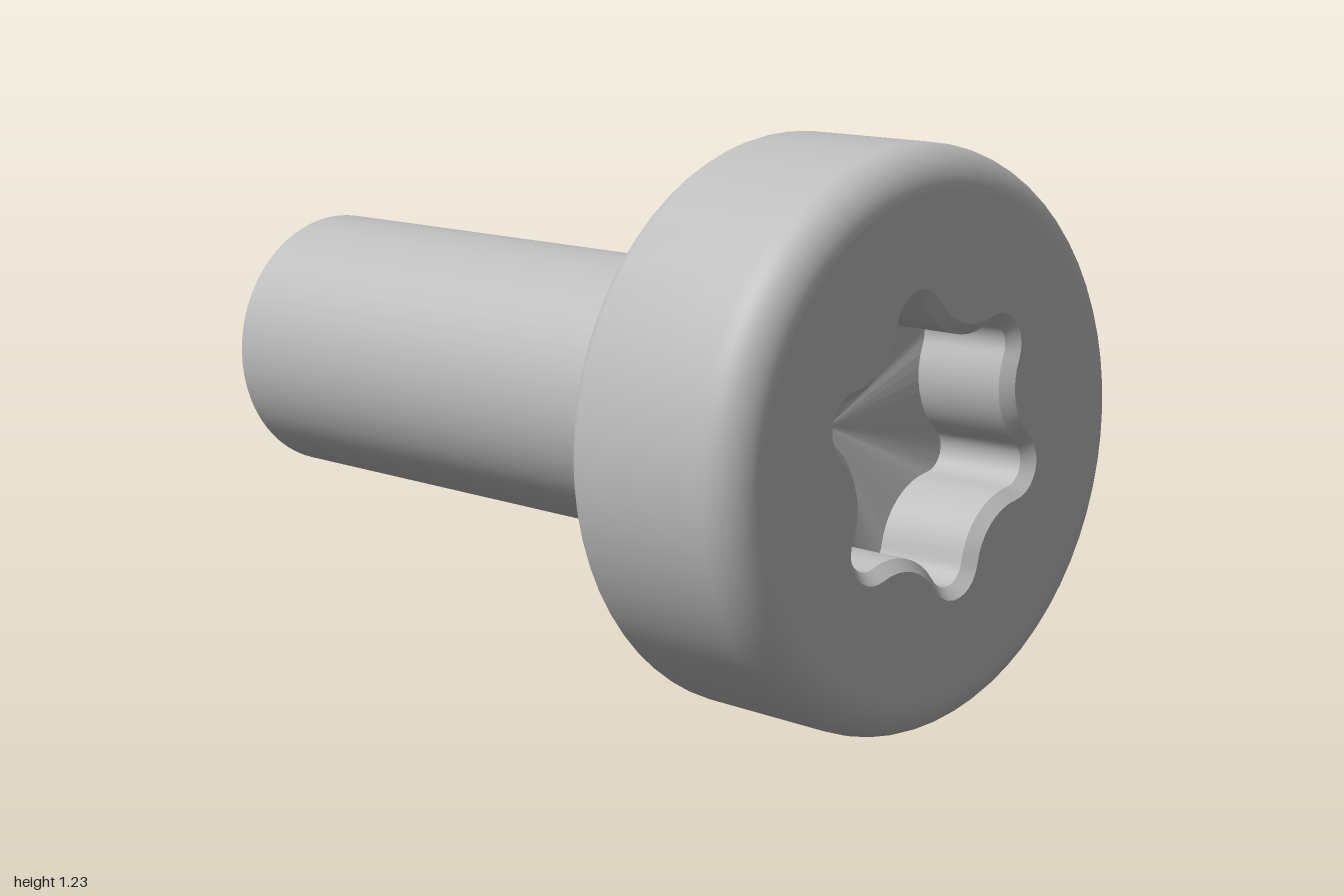
import * as THREE from 'three';
import { toCreasedNormals } from 'three/addons/utils/BufferGeometryUtils.js';

const SEG = 64;
const CREASE = THREE.MathUtils.degToRad(30);
const V2 = (x, y) => new THREE.Vector2(x, y);

// Points of a circular arc, used for fillets and the socket outline
function arc(cx, cy, r, from, to, steps) {
  return Array.from({ length: steps + 1 }, (_, i) => {
    const t = from + ((to - from) * i) / steps;
    return V2(cx + r * Math.cos(t), cy + r * Math.sin(t));
  });
}

// Six-lobed outline made of tangent arcs, shrunk inward by "inset"
function socketOutline(inset) {
  const a = 0.263, b = 0.4, step = Math.PI / 6;
  const gap = Math.hypot(b * Math.cos(step) - a, b * Math.sin(step));
  const lobeR = 0.075 - inset, valleyR = gap - lobeR;
  const beta = Math.atan2(b * Math.sin(step), b * Math.cos(step) - a);
  const pts = [];
  for (let k = 0; k < 6; k++) {
    const p = THREE.MathUtils.degToRad(43.5) + k * 2 * step, q = p + step;
    pts.push(...arc(a * Math.cos(p), a * Math.sin(p), lobeR, p - beta, p + beta, 10).slice(0, -1));
    pts.push(...arc(b * Math.cos(q), b * Math.sin(q), valleyR,
      p + beta + Math.PI, p + 2 * step - beta + Math.PI, 8).slice(0, -1));
  }
  return pts;
}

// Surface joining outlines at successive depths, facing the axis
function loft(rings) {
  const pos = [];
  for (let r = 0; r + 1 < rings.length; r++) {
    const [top, zt] = rings[r], [bot, zb] = rings[r + 1], n = top.length;
    for (let i = 0; i < n; i++) {
      const j = (i + 1) % n;
      const ti = [top[i].x, top[i].y, zt], tj = [top[j].x, top[j].y, zt];
      const bi = [bot[i].x, bot[i].y, zb], bj = [bot[j].x, bot[j].y, zb];
      pos.push(...ti, ...tj, ...bi, ...tj, ...bj, ...bi);
    }
  }
  const g = new THREE.BufferGeometry();
  g.setAttribute('position', new THREE.Float32BufferAttribute(pos, 3));
  return toCreasedNormals(g, CREASE);
}

// Turned part whose profile runs along z
function turned(profile) {
  const g = new THREE.LatheGeometry(profile, SEG);
  g.rotateX(Math.PI / 2);
  return toCreasedNormals(g, CREASE);
}

export function createModel() {
  const model = new THREE.Group();
  model.name = 'socketScrew';
  const steel = new THREE.MeshStandardMaterial({ color: 0xbdbdbd });
  steel.name = 'steelGrey';
  const add = (name, geometry) => {
    const mesh = new THREE.Mesh(geometry, steel);
    mesh.name = name;
    mesh.position.y = 0.615;
    model.add(mesh);
  };

  // Shaft with chamfered tip
  add('shaft', turned([V2(0.215, -1), V2(0.305, -0.91), V2(0.305, 0.54)]));
  const tip = new THREE.CircleGeometry(0.215, SEG);
  tip.rotateY(Math.PI);
  tip.translate(0, 0, -1);
  add('shaftTip', tip);

  // Head side with rounded rear and front edges
  add('head', turned([
    V2(0.305, 0.54),
    ...arc(0.565, 0.59, 0.05, -Math.PI / 2, 0, 8),
    ...arc(0.525, 0.91, 0.09, 0, Math.PI / 2, 10),
  ]));

  // Flat front face around the socket
  const rim = socketOutline(0), wall = socketOutline(0.024);
  const face = new THREE.Shape(arc(0, 0, 0.525, 0, Math.PI * 2, SEG).slice(0, -1));
  face.holes.push(new THREE.Path(rim));
  const faceGeo = new THREE.ShapeGeometry(face);
  faceGeo.translate(0, 0, 1);
  add('headFace', faceGeo);

  // Socket: bevelled rim, straight walls and shallow pointed floor
  add('socketWall', loft([[rim, 1], [wall, 0.976], [wall, 0.76]]));
  const floor = new THREE.BufferGeometry();
  floor.setAttribute('position', new THREE.Float32BufferAttribute(
    wall.flatMap((p, i) => {
      const q = wall[(i + 1) % wall.length];
      return [p.x, p.y, 0.76, q.x, q.y, 0.76, 0, 0, 0.7];
    }), 3));
  floor.computeVertexNormals();
  add('socketFloor', floor);

  return model;
}
